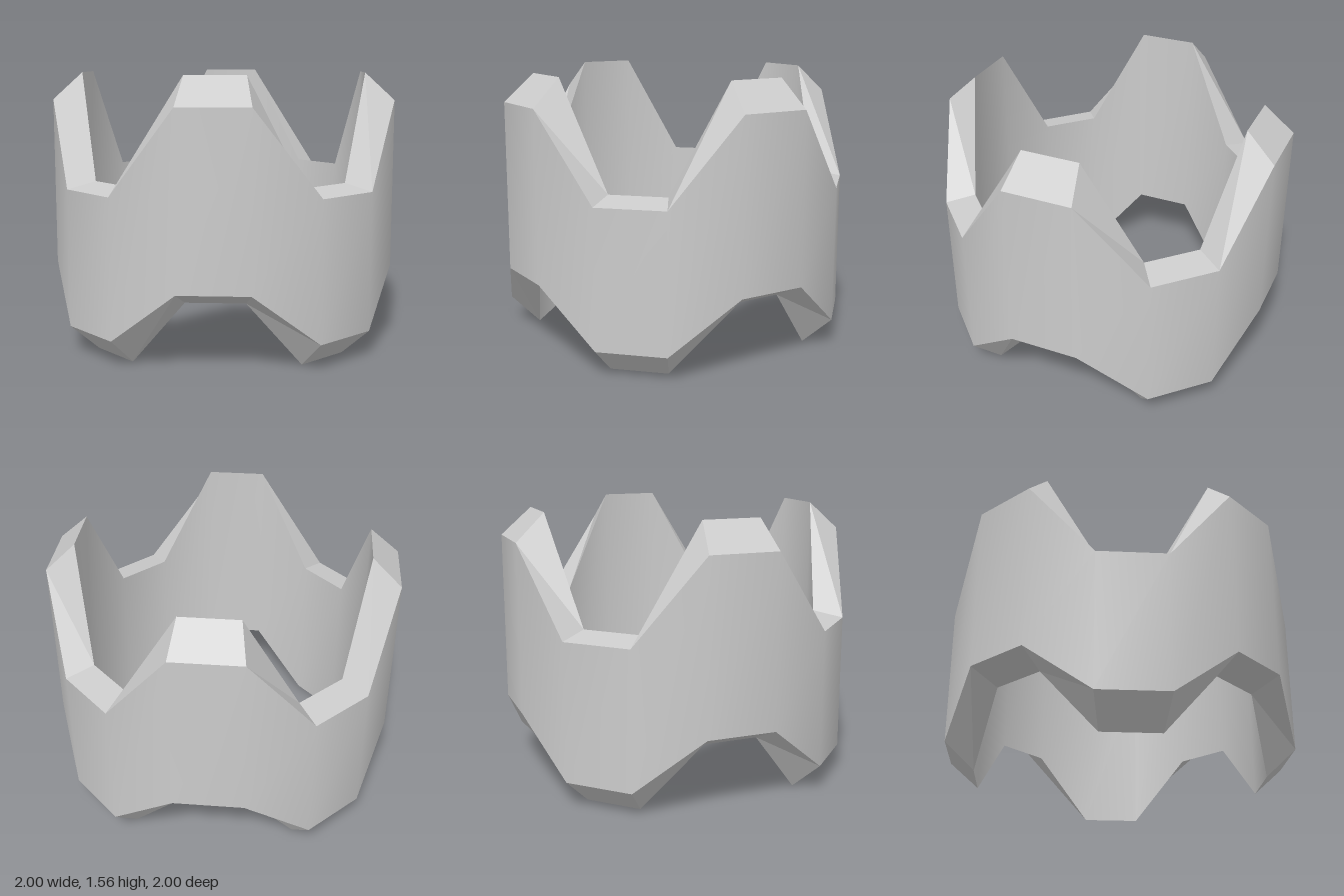
import * as THREE from 'three';

const SIDES = 16;

// One 16-point loop; heights alternate two low, two high, around the ring
function loop(radius, low, high) {
  return Array.from({ length: SIDES }, (_, k) => {
    const a = (k / SIDES) * Math.PI * 2;
    return new THREE.Vector3(radius * Math.sin(a), k % 4 < 2 ? low : high, radius * Math.cos(a));
  });
}

// Closed band from loop a to loop b; smooth bands share their corners
function band(name, a, b, smooth) {
  let geo = new THREE.BufferGeometry().setFromPoints([...a, ...b]);
  const index = [];
  for (let k = 0; k < SIDES; k++) {
    const n = (k + 1) % SIDES;
    index.push(k, n, n + SIDES, k, n + SIDES, k + SIDES);
  }
  geo.setIndex(index);
  if (!smooth) geo = geo.toNonIndexed();
  geo.computeVertexNormals();
  const mesh = new THREE.Mesh(geo, new THREE.MeshStandardMaterial({ color: 0xcccccc, flatShading: !smooth }));
  mesh.name = name;
  return mesh;
}

export function createModel() {
  const group = new THREE.Group();
  group.name = 'notchedRing';

  const outerBottom = loop(1, 0.155, 0.45);
  const outerTop = loop(1, 0.93, 1.405);
  const innerTop = loop(0.83, 0.965, 1.56);
  const innerBottom = loop(0.83, 0, 0.37);

  group.add(
    band('outerWall', outerBottom, outerTop, true),
    band('topRim', outerTop, innerTop, false),
    band('innerWall', innerTop, innerBottom, true),
    band('bottomRim', innerBottom, outerBottom, false),
  );
  return group;
}
